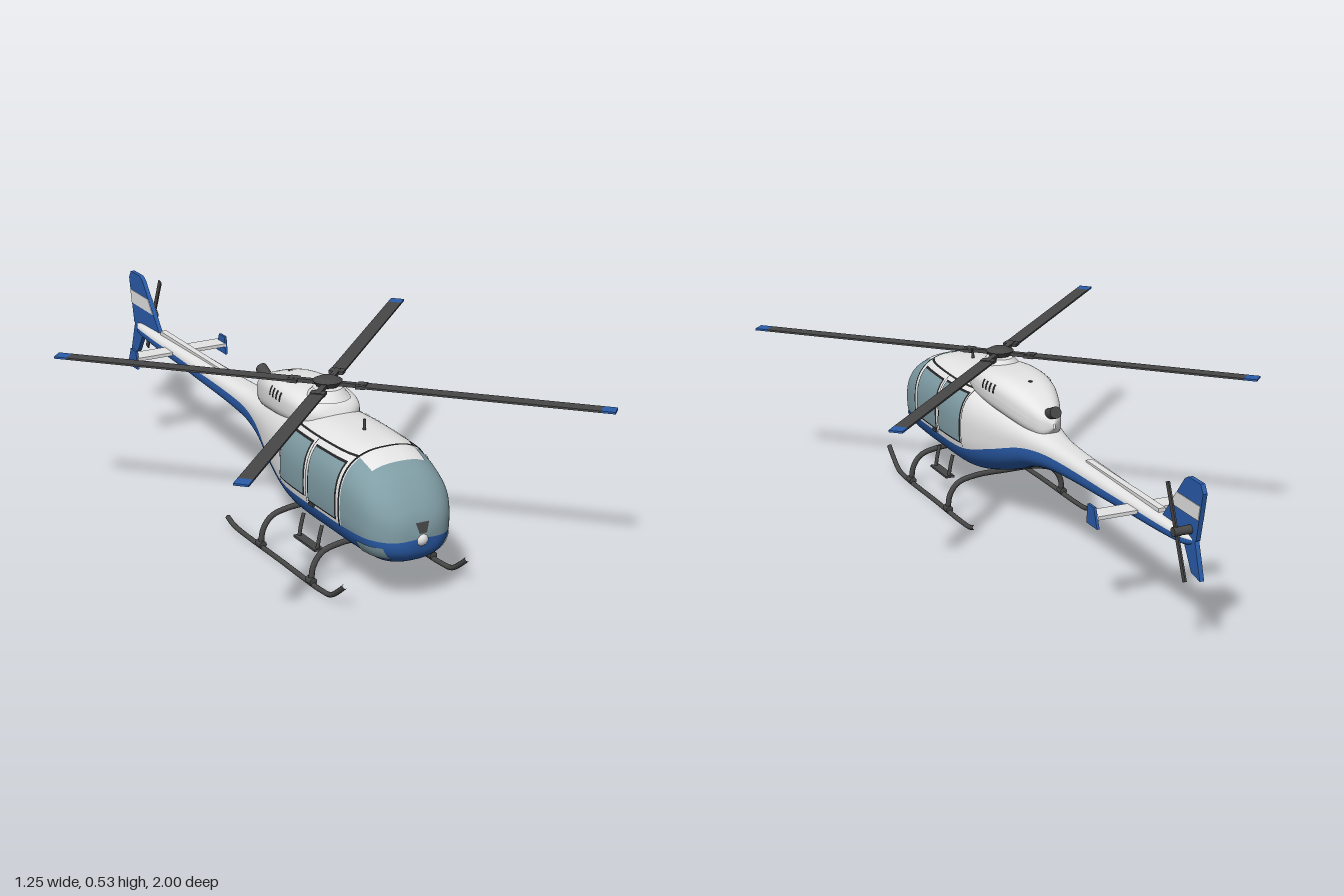
import * as THREE from 'three';

const mat = (name, color, side = THREE.FrontSide) => {
  const m = new THREE.MeshStandardMaterial({ color, side });
  m.name = name;
  return m;
};

// Smooth interpolation through rows of [z, halfWidth, bottom, top, ...], z descending
function sample(rows, z) {
  let i = 0;
  while (i < rows.length - 2 && z < rows[i + 1][0]) i++;
  const a = rows[i], b = rows[i + 1], p = rows[Math.max(i - 1, 0)], q = rows[Math.min(i + 2, rows.length - 1)];
  const d = b[0] - a[0], t = THREE.MathUtils.clamp((z - a[0]) / d, 0, 1), t2 = t * t, t3 = t2 * t;
  return a.map((v, k) => {
    const ma = (b[k] - p[k]) / (b[0] - p[0]) * d, mb = (q[k] - v) / (q[0] - a[0]) * d;
    return (2 * t3 - 3 * t2 + 1) * v + (t3 - 2 * t2 + t) * ma + (3 * t2 - 2 * t3) * b[k] + (t3 - t2) * mb;
  });
}

// Superellipse cross-section point at angle a
function ring(rows, n, z, a, off = 0) {
  const [, w, b, t] = sample(rows, z);
  const f = v => Math.sign(v) * Math.abs(v) ** (2 / n);
  return [(Math.abs(w) + off) * f(Math.cos(a)), (b + t) / 2 + (Math.abs(t - b) / 2 + off) * f(Math.sin(a)), z];
}

// Surface from f(u, v); it faces dv x du
function surface(nu, nv, f) {
  const pos = [], idx = [];
  for (let i = 0; i <= nu; i++) for (let j = 0; j <= nv; j++) {
    pos.push(...f(i / nu, j / nv));
    if (i < nu && j < nv) {
      const p = i * (nv + 1) + j, q = p + nv + 1;
      idx.push(p, p + 1, q, p + 1, q + 1, q);
    }
  }
  const g = new THREE.BufferGeometry();
  g.setAttribute('position', new THREE.Float32BufferAttribute(pos, 3));
  g.setIndex(idx);
  g.computeVertexNormals();
  return g;
}

// Hull stations: z, half width, bottom, top, paint line
const HULL = [
  [0.925, 0.002, 0.211, 0.215, 0.213], [0.915, 0.06, 0.165, 0.265, 0.207], [0.895, 0.098, 0.14, 0.305, 0.205],
  [0.86, 0.127, 0.122, 0.348, 0.205], [0.82, 0.143, 0.115, 0.38, 0.205], [0.72, 0.155, 0.113, 0.418, 0.205],
  [0.6, 0.157, 0.113, 0.43, 0.205], [0.42, 0.155, 0.115, 0.43, 0.205], [0.33, 0.145, 0.127, 0.42, 0.212],
  [0.2, 0.115, 0.165, 0.395, 0.248], [0.05, 0.076, 0.222, 0.362, 0.292], [-0.1, 0.052, 0.25, 0.345, 0.306],
  [-0.5, 0.04, 0.272, 0.338, 0.312], [-0.9, 0.025, 0.29, 0.33, 0.315], [-0.95, 0.004, 0.305, 0.32, 0.315],
];
// Engine cowling stations
const COWL = [
  [0.445, 0.04, 0.4, 0.43], [0.425, 0.08, 0.38, 0.457], [0.37, 0.1, 0.37, 0.476], [0.25, 0.104, 0.36, 0.484],
  [0.15, 0.092, 0.35, 0.477], [0.08, 0.073, 0.34, 0.458], [0.03, 0.053, 0.335, 0.435],
  [-0.01, 0.034, 0.34, 0.412], [-0.035, 0.003, 0.37, 0.385],
];
const N = 2.6, LERP = THREE.MathUtils.lerp;

// Angle at which the paint line meets the section at z
function paintAngle(z) {
  const [, , b, t, line] = sample(HULL, z);
  const u = THREE.MathUtils.clamp((line - (b + t) / 2) / ((t - b) / 2), -0.98, 0.98);
  return Math.asin(Math.sign(u) * Math.abs(u) ** (N / 2));
}
function sideX(rows, n, y, z) {
  const [, w, b, t] = sample(rows, z);
  const u = Math.min(1, Math.abs((y - (b + t) / 2) / ((t - b) / 2)));
  return w * (1 - u ** n) ** (1 / n);
}

export function createModel() {
  const model = new THREE.Group();
  model.name = 'helicopter';
  const white = mat('white paint', 0xe4e4e4, THREE.DoubleSide), blue = mat('blue paint', 0x2a5dab, THREE.DoubleSide);
  const glass = mat('tinted glass', 0x809da5, THREE.DoubleSide), dark = mat('dark grey', 0x474747);
  const black = mat('black seal', 0x242424, THREE.DoubleSide);

  const add = (name, geo, m, x = 0, y = 0, z = 0, parent = model) => {
    const mesh = new THREE.Mesh(geo, m);
    mesh.name = name;
    mesh.position.set(x, y, z);
    parent.add(mesh);
    return mesh;
  };
  const box = (name, w, h, d, m, x, y, z, parent) => add(name, new THREE.BoxGeometry(w, h, d), m, x, y, z, parent);
  const cyl = (name, r0, r1, h, m, x, y, z, parent) => add(name, new THREE.CylinderGeometry(r0, r1, h, 24), m, x, y, z, parent);
  const tube = (name, pts, r, m, seg = 32) => add(name, new THREE.TubeGeometry(
    new THREE.CatmullRomCurve3(pts.map(p => new THREE.Vector3(...p))), seg, r, 10), m);
  // Flat plate from a (z, y) outline, thick along x
  const plate = (name, pts, t, m, x = 0) => {
    const g = new THREE.ExtrudeGeometry(new THREE.Shape(pts.map(p => new THREE.Vector2(...p))), { depth: t, bevelEnabled: false });
    g.rotateY(-Math.PI / 2).translate(t / 2, 0, 0);
    return add(name, g, m, x);
  };
  // Thin skin lying on the side of a body
  const sidePatch = (name, s, z0, z1, y0, y1, off, m, rows = HULL, n = N) => add(name, surface(10, 10, (u, v) => {
    const z = s > 0 ? LERP(z0, z1, u) : LERP(z1, z0, u), y = LERP(y0, y1, v);
    return [s * (sideX(rows, n, y, z) + off), y, z];
  }), m);

  // Fuselage and tail boom, split along the paint line
  const upper = (z, v, off) => {
    const a = paintAngle(z);
    return ring(HULL, N, z, LERP(a, Math.PI - a, v), off);
  };
  const noseZ = u => 0.925 - 0.205 * (1 - u) ** 2;
  add('windshield', surface(32, 48, (u, v) => upper(noseZ(u), v)), glass);
  add('upperFuselage', surface(80, 48, (u, v) => upper(LERP(-0.95, 0.72, u), v)), white);
  const lower = (z, v) => {
    const a = paintAngle(z);
    return ring(HULL, N, z, LERP(Math.PI - a, Math.PI * 2 + a, v));
  };
  add('lowerNose', surface(32, 48, (u, v) => lower(noseZ(u), v)), blue);
  add('lowerFuselage', surface(80, 48, (u, v) => lower(LERP(-0.95, 0.72, u), v)), blue);
  add('roofEdge', surface(8, 20, (u, v) => ring(HULL, N, LERP(0.718, 0.785, u), LERP(1.05, Math.PI - 1.05, v), 0.002)), white);
  add('windshieldSeal', surface(1, 48, (u, v) => upper(LERP(0.713, 0.72, u), v, 0.003)), black);

  // Nose lamp and its bracket
  add('noseLamp', new THREE.SphereGeometry(0.022, 20, 14), white, 0, 0.207, 0.91);
  add('lampBracket', surface(4, 6, (u, v) => {
    const y = LERP(0.228, 0.26, u), x = LERP(-1, 1, v) * LERP(0.012, 0.022, u);
    return [x, y, LERP(0.925, 0.919, u)];
  }), dark);

  for (const s of [1, -1]) {
    // Door windows, seals and seams
    for (const [z0, z1, y0, y1] of [[0.54, 0.695, 0.222, 0.385], [0.36, 0.51, 0.23, 0.388]]) {
      sidePatch('windowSeal', s, z0 - 0.005, z1 + 0.005, y0 - 0.005, y1 + 0.005, 0.002, black);
      sidePatch('doorWindow', s, z0, z1, y0, y1, 0.004, glass);
    }
    for (const z of [0.35, 0.525]) sidePatch('doorSeam', s, z - 0.0015, z + 0.0015, 0.212, 0.405, 0.002, black);
    sidePatch('doorTopSeam', s, 0.35, 0.715, 0.403, 0.407, 0.003, black);
    box('doorHandle', 0.008, 0.008, 0.025, dark, s * 0.155, 0.212, 0.555);
    sidePatch('chinWindow', s, 0.79, 0.885, 0.147, 0.186, 0.004, glass);
    // Cowling vents
    for (let i = 0; i < 4; i++) {
      const z = 0.2 + i * 0.023;
      sidePatch('vent', s, z - 0.005, z + 0.005, 0.432, 0.46, 0.003, black, COWL, 3);
    }
    // Landing skid
    const x = s * 0.205;
    tube('skid', [[x, 0.075, 0.842], [x, 0.045, 0.805], [x, 0.016, 0.76], [x, 0.008, 0.7], [x, 0.008, 0.45],
      [x, 0.008, 0.2], [x, 0.012, 0.155], [x, 0.024, 0.118]], 0.008, dark, 60);
    for (const z of [0.645, 0.335]) cyl('skidClamp', 0.012, 0.012, 0.03, dark, x, 0.016, z).rotation.x = Math.PI / 2;
    // Boarding step
    for (const z of [0.575, 0.465]) tube('stepStrut', [[s * 0.13, 0.15, z], [s * 0.14, 0.11, z], [s * 0.145, 0.078, z]], 0.006, dark, 8);
    box('stepTread', 0.03, 0.007, 0.13, dark, s * 0.145, 0.077, 0.52);
    // Stabilizer end plate
    plate('stabilizerEndPlate', [[-0.61, 0.34], [-0.65, 0.34], [-0.672, 0.28], [-0.602, 0.28]], 0.008, blue, s * 0.164);
  }
  for (const z of [0.645, 0.335]) tube('crossTube', [[-0.205, 0.012, z], [-0.198, 0.06, z], [-0.17, 0.098, z], [-0.11, 0.115, z],
    [0, 0.118, z], [0.11, 0.115, z], [0.17, 0.098, z], [0.198, 0.06, z], [0.205, 0.012, z]], 0.009, dark, 48);

  // Engine cowling, exhaust and roof aerials
  add('engineCowling', surface(48, 48, (u, v) => ring(COWL, 3, LERP(-0.035, 0.445, u), v * Math.PI * 2)), white);
  cyl('exhaust', 0.019, 0.017, 0.075, dark, 0, 0.413, -0.012).rotation.x = -1.2;
  cyl('roofAerial', 0.004, 0.005, 0.035, dark, 0, 0.445, 0.59);
  cyl('cowlingCap', 0.007, 0.007, 0.006, dark, 0, 0.474, 0.14);

  // Main rotor
  const rotor = new THREE.Group();
  rotor.name = 'mainRotor';
  rotor.position.set(0, 0.508, 0.372);
  model.add(rotor);
  cyl('mastFairing', 0.045, 0.07, 0.03, white, 0, -0.028, 0, rotor);
  cyl('mast', 0.018, 0.022, 0.05, dark, 0, -0.02, 0, rotor);
  cyl('hub', 0.045, 0.035, 0.016, dark, 0, 0, 0, rotor);
  cyl('hubCap', 0.025, 0.045, 0.01, dark, 0, 0.013, 0, rotor);
  for (let i = 0; i < 4; i++) {
    const arm = new THREE.Group();
    arm.name = 'rotorBlade';
    arm.rotation.y = Math.PI / 4 + i * Math.PI / 2;
    rotor.add(arm);
    box('bladeArm', 0.1, 0.012, 0.018, dark, 0.07, 0, 0, arm);
    box('bladeCuff', 0.03, 0.01, 0.045, dark, 0.105, 0, 0, arm);
    box('blade', 0.72, 0.006, 0.044, dark, 0.46, 0, 0, arm);
    box('bladeTip', 0.042, 0.006, 0.044, blue, 0.841, 0, 0, arm);
  }

  // Tail: shaft cover, stabilizer, fins
  box('driveShaftCover', 0.022, 0.014, 0.47, white, 0, 0.339, -0.515);
  box('stabilizer', 0.325, 0.011, 0.064, white, 0, 0.312, -0.636);
  plate('upperFin', [[-0.76, 0.325], [-0.895, 0.485], [-0.915, 0.495], [-0.985, 0.495], [-1, 0.47], [-0.965, 0.32], [-0.93, 0.3]], 0.014, blue);
  plate('finStripe', [[-0.813, 0.385], [-0.85, 0.43], [-0.988, 0.43], [-0.978, 0.385]], 0.018, white);
  plate('lowerFin', [[-0.885, 0.31], [-0.94, 0.218], [-0.992, 0.208], [-0.958, 0.32]], 0.014, blue);

  // Tail rotor on the left side
  const gear = cyl('tailRotorShaft', 0.012, 0.014, 0.055, dark, 0.03, 0.345, -0.932);
  gear.rotation.z = -Math.PI / 2;
  const tail = new THREE.Group();
  tail.name = 'tailRotor';
  tail.position.set(0.052, 0.345, -0.932);
  tail.rotation.x = 0.39;
  model.add(tail);
  cyl('tailRotorHub', 0.014, 0.014, 0.022, dark, 0, 0, 0, tail).rotation.z = Math.PI / 2;
  box('tailRotorBlades', 0.005, 0.285, 0.018, dark, 0, 0, 0, tail);
  return model;
}
